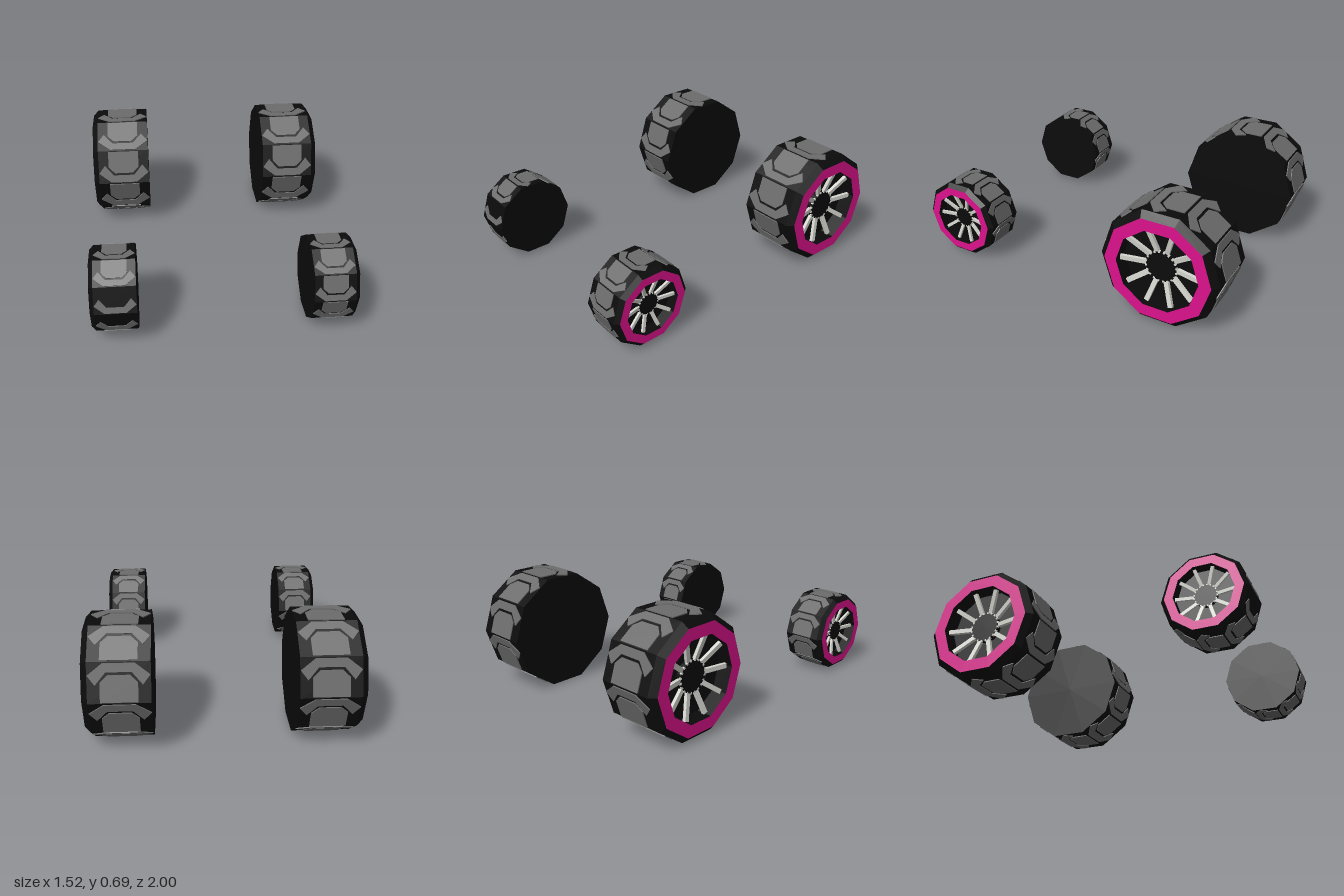
import * as THREE from 'three';

const black = new THREE.MeshStandardMaterial({ color: 0x0b0b0b });
black.name = 'tyre black';
const grey = new THREE.MeshStandardMaterial({ color: 0x6c6c6c });
grey.name = 'tread grey';
const pink = new THREE.MeshStandardMaterial({ color: 0xdc128c });
pink.name = 'rim pink';
const silver = new THREE.MeshStandardMaterial({ color: 0xd6d6d0 });
silver.name = 'spoke silver';

const SIDES = 10;
const R = 0.357;
const HALF = 0.185;
const STEP = (Math.PI * 2) / SIDES;
const APOTHEM = R * Math.cos(STEP / 2);

function add(parent, name, geometry, material) {
  const mesh = new THREE.Mesh(geometry, material);
  mesh.name = name;
  parent.add(mesh);
  return mesh;
}

// Faceted ten-sided ring from [radius, height] pairs
function facetedLathe(profile) {
  const points = profile.map(([r, y]) => new THREE.Vector2(r, y));
  const geometry = new THREE.LatheGeometry(points, SIDES).toNonIndexed();
  geometry.computeVertexNormals();
  return geometry;
}

// Thin plate, mirrored across its centre line from the right half outline
function plate(half) {
  const left = half.map(([x, y]) => [-x, y]).reverse();
  const shape = new THREE.Shape([...half, ...left].map(([x, y]) => new THREE.Vector2(x, y)));
  return new THREE.ExtrudeGeometry(shape, { depth: 0.008, bevelEnabled: false }).translate(0, 0, -0.002);
}

const blockGeometry = plate([[0.06, -0.04], [0.1, 0], [0.1, 0.105]]);
const chevronGeometry = plate([[0.085, -0.103], [0.165, -0.04], [0.125, 0.013], [0.068, -0.055]]);

// side is +1 or -1; skipped lists tread faces that carry no centre block
function createWheel(name, side, skipped = []) {
  const wheel = new THREE.Group();
  wheel.name = name;

  // Hub-side parts use local y as the outward axle
  const body = new THREE.Group();
  body.name = 'wheelBody';
  body.rotation.z = (-side * Math.PI) / 2;
  wheel.add(body);

  add(body, 'tyre', facetedLathe([[0, -HALF], [R, -HALF], [R, 0.15], [0.32, HALF]]), black);
  add(body, 'rim', facetedLathe([[0.32, HALF], [0.247, HALF]]), pink);
  add(body, 'rimWell', facetedLathe([[0.247, HALF], [0.247, 0.09], [0, 0.09]]), black);
  const hub = add(body, 'hub', new THREE.CylinderGeometry(0.092, 0.092, 0.035, 20), black);
  hub.position.y = 0.107;

  // Spokes slope inwards from the rim to the hub
  for (let i = 0; i < SIDES; i++) {
    const pivot = new THREE.Group();
    pivot.name = 'spokePivot';
    pivot.rotation.y = i * STEP;
    body.add(pivot);
    const spoke = add(pivot, 'spoke', new THREE.BoxGeometry(0.027, 0.02, 0.15), silver);
    spoke.position.set(0, 0.128, 0.168);
    spoke.rotation.x = -0.2;
  }

  // Small studs around the hub
  for (let i = 0; i < 20; i++) {
    const a = (i + 0.5) * (STEP / 2);
    const stud = add(body, 'hubStud', new THREE.BoxGeometry(0.012, 0.012, 0.012), silver);
    stud.position.set(Math.sin(a) * 0.092, 0.12, Math.cos(a) * 0.092);
    stud.rotation.y = a;
  }

  // One block and one chevron on each flat of the tyre
  for (let i = 0; i < SIDES; i++) {
    const face = new THREE.Group();
    face.name = 'treadFace';
    face.rotation.x = -(i + 0.5) * STEP;
    wheel.add(face);
    const parts = [['treadChevron', chevronGeometry]];
    if (!skipped.includes(i)) parts.push(['treadBlock', blockGeometry]);
    for (const [partName, geometry] of parts) {
      add(face, partName, geometry, grey).position.set(-side * 0.0175, 0, APOTHEM);
    }
  }
  return wheel;
}

export function createModel() {
  const model = new THREE.Group();
  model.name = 'wheelSet';
  for (const side of [1, -1]) {
    const label = side > 0 ? 'Left' : 'Right';
    const rear = createWheel('rear' + label + 'Wheel', side);
    rear.position.set(side * 0.575, 0.35, -0.636);
    model.add(rear);

    const front = createWheel('front' + label + 'Wheel', side, side < 0 ? [0, 9] : []);
    front.scale.setScalar(0.688);
    front.position.set(side * 0.608, 0.253, 0.752);
    model.add(front);
  }
  return model;
}
